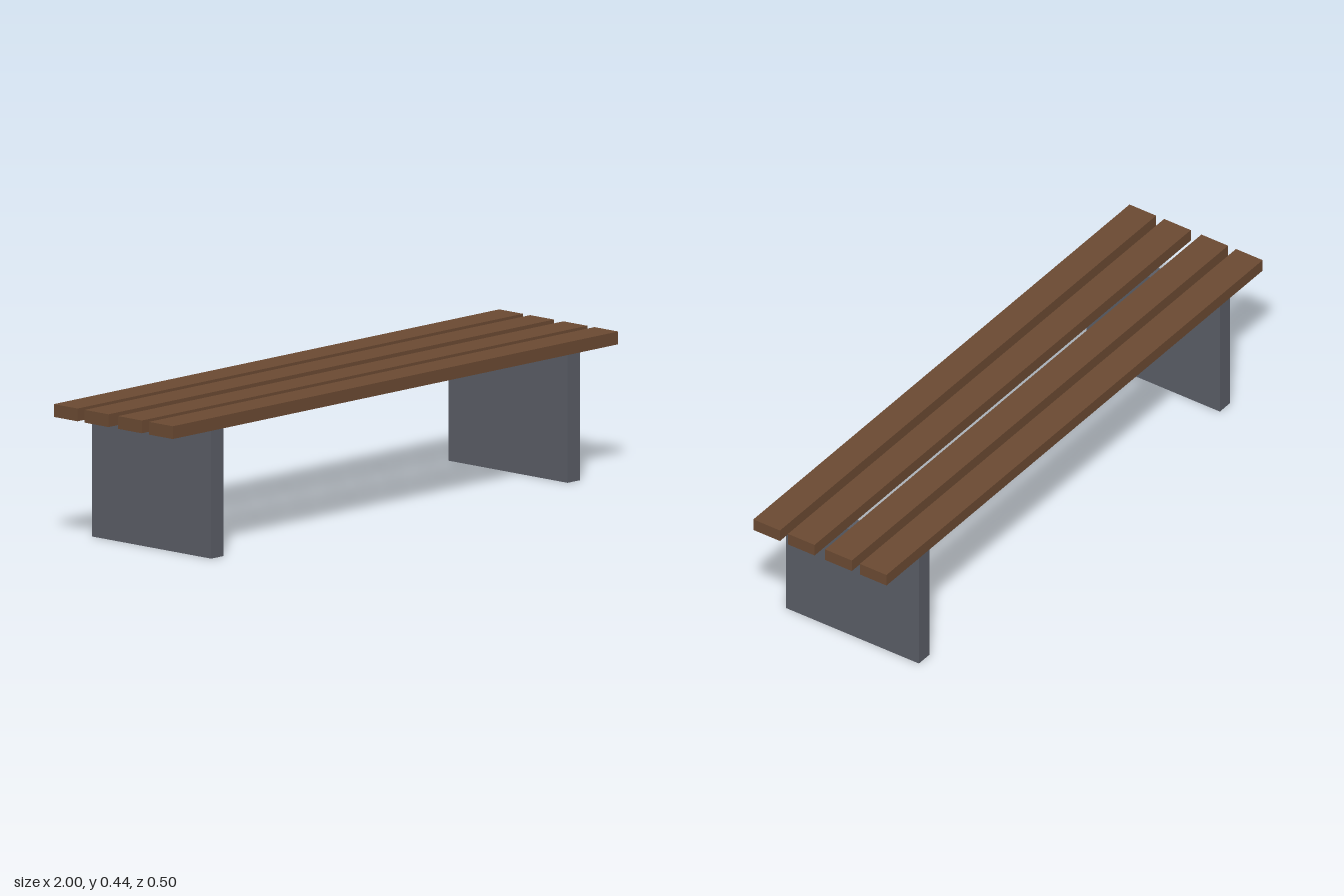
import * as THREE from 'three';

export function createModel() {
  const wood = new THREE.MeshStandardMaterial({ color: 0x6b4a32 });
  wood.name = 'brown wood';
  const concrete = new THREE.MeshStandardMaterial({ color: 0x5a5d66 });
  concrete.name = 'dark grey';

  const bench = new THREE.Group();
  bench.name = 'bench';

  function addBox(name, material, size, position) {
    const mesh = new THREE.Mesh(new THREE.BoxGeometry(...size), material);
    mesh.name = name;
    mesh.position.set(...position);
    bench.add(mesh);
  }

  // Two solid slab legs
  for (const side of [-1, 1]) {
    addBox(side > 0 ? 'leftLeg' : 'rightLeg', concrete, [0.055, 0.4, 0.5], [side * 0.8, 0.2, 0]);
  }

  // Four seat slats running the full length
  [0.2, 0.07, -0.07, -0.2].forEach((z, i) => {
    addBox(`seatSlat${i + 1}`, wood, [2, 0.04, 0.1], [0, 0.42, z]);
  });

  return bench;
}
